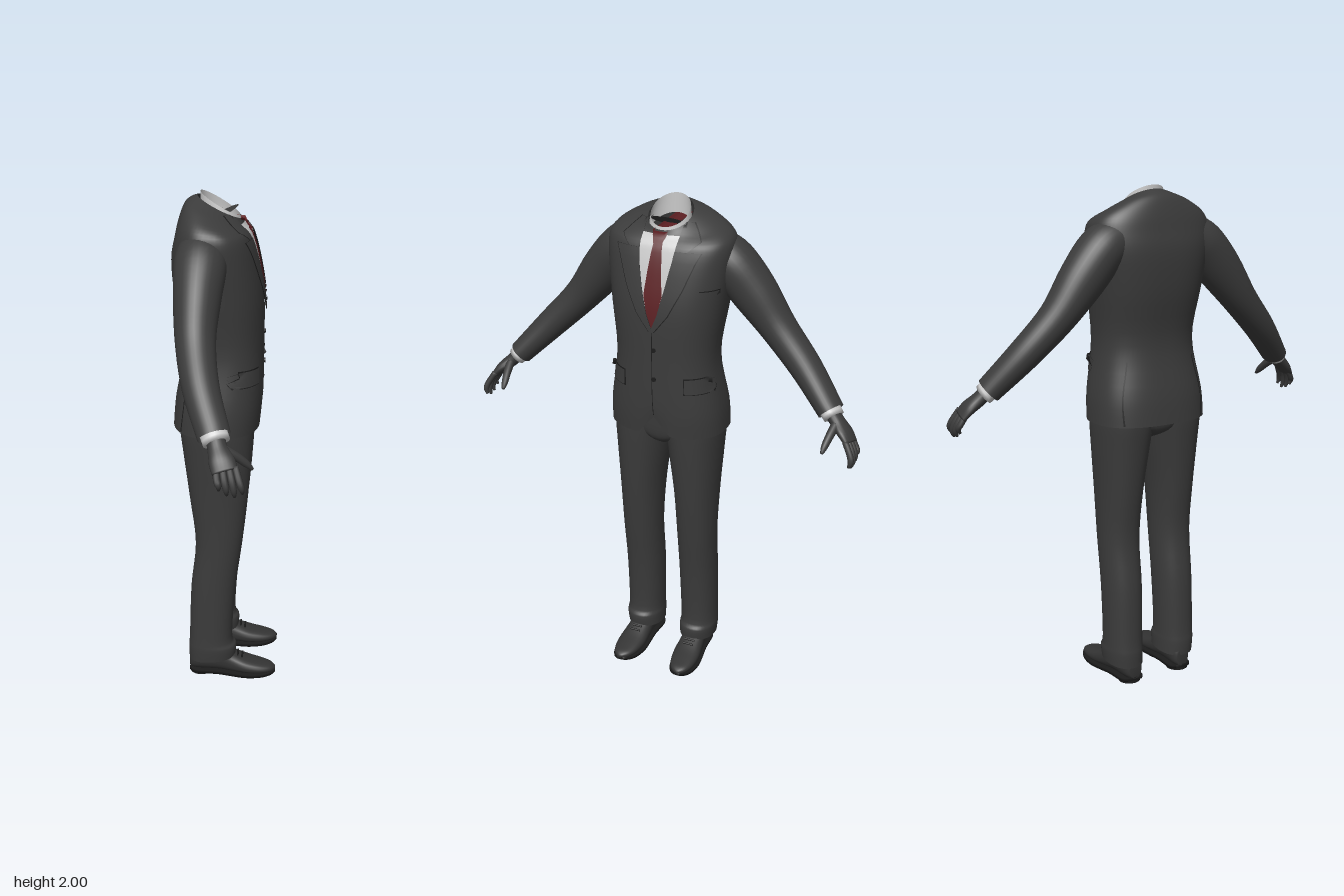
import * as THREE from 'three';

const mat = (name, color) => new THREE.MeshStandardMaterial({ name, color, side: THREE.DoubleSide });
const V = (x, y, z) => new THREE.Vector3(x, y, z);

// Catmull-Rom interpolation of rows of numbers
function smooth(rows, steps) {
  const out = [];
  const at = i => rows[Math.max(0, Math.min(rows.length - 1, i))];
  for (let i = 0; i < rows.length - 1; i++) {
    for (let s = 0; s < steps; s++) {
      const t = s / steps;
      out.push(rows[i].map((b, k) => {
        const a = at(i - 1)[k], c = at(i + 1)[k], d = at(i + 2)[k];
        return b + 0.5 * t * (c - a + t * (2 * a - 5 * b + 4 * c - d + t * (3 * (b - c) + d - a)));
      }));
    }
  }
  out.push(rows[rows.length - 1]);
  return out;
}

// Skin over equal-length rings; closed wraps each ring, caps fills both ends
function skin(rings, closed = true, caps = false) {
  const n = rings[0].length, pts = rings.flat(), idx = [];
  const w = closed ? n : n - 1;
  for (let i = 0; i < rings.length - 1; i++) {
    for (let j = 0; j < w; j++) {
      const a = i * n + j, b = i * n + (j + 1) % n;
      idx.push(a, a + n, b, b, a + n, b + n);
    }
  }
  if (caps) [0, rings.length - 1].forEach((r, e) => {
    const c = pts.length;
    pts.push(rings[r].reduce((s, p) => s.add(p), V(0, 0, 0)).divideScalar(n));
    for (let j = 0; j < n; j++) {
      const a = r * n + j, b = r * n + (j + 1) % n;
      e ? idx.push(c, b, a) : idx.push(c, a, b);
    }
  });
  const g = new THREE.BufferGeometry().setFromPoints(pts);
  g.setIndex(idx);
  g.computeVertexNormals();
  return g;
}

const pw = (v, e) => Math.sign(v) * Math.abs(v) ** e;
const ring = (n, f) => Array.from({ length: n }, (_, j) => f(Math.cos(j / n * Math.PI * 2), Math.sin(j / n * Math.PI * 2)));

// Upright body from rows [y, back x, front x, centre z, half width, tilt, squareness]
function stack(rows, seg = 64, steps = 4) {
  return skin(smooth(rows, steps).map(([y, xb, xf, zc, hw, tilt, n]) => ring(seg, (c, s) => {
    const dx = pw(c, 2 / n) * (xf - xb) / 2;
    return V((xb + xf) / 2 + dx, y - tilt * dx, zc + pw(s, 2 / n) * hw);
  })));
}

// Tapered limb from rows [x, y, z, radius along x, radius across]
function limb(rows, seg = 24, steps = 5, caps = false) {
  const r = smooth(rows, steps), p = r.map(a => V(a[0], a[1], a[2]));
  return skin(r.map((a, i) => {
    const t = p[Math.min(i + 1, p.length - 1)].clone().sub(p[Math.max(i - 1, 0)]).normalize();
    const u = V(1, 0, 0).addScaledVector(t, -t.x).normalize(), v = u.clone().cross(t);
    return ring(seg, (c, s) => p[i].clone().addScaledVector(u, c * a[3]).addScaledVector(v, s * a[4]));
  }), true, caps);
}

export function createModel() {
  const suit = mat('charcoal suit', 0x3b3b3b), dark = mat('dark seam', 0x1c1c1c);
  const white = mat('shirt white', 0xc9c9c9), red = mat('tie red', 0x5c1f22);
  const leather = mat('shoe leather', 0x343434), glove = mat('glove grey', 0x3a3a3a);
  const model = new THREE.Group();
  const add = (name, geo, m, parent = model) => {
    const mesh = new THREE.Mesh(geo, m);
    mesh.name = name;
    parent.add(mesh);
    return mesh;
  };

  // Jacket body, with the front corners of the hem cut away
  const jacketGeo = stack([
    [1.09, -0.21, 0.135, 0, 0.237, 0, 2.5], [1.2, -0.2, 0.143, 0, 0.232, 0, 2.5],
    [1.4, -0.168, 0.145, 0, 0.203, 0, 2.4], [1.6, -0.2, 0.143, 0, 0.225, 0, 2.5],
    [1.75, -0.21, 0.118, 0, 0.245, 0, 2.6], [1.84, -0.195, 0.092, 0, 0.25, 0, 2.6],
    [1.885, -0.18, 0.075, 0, 0.228, 0.15, 2.4], [1.915, -0.16, 0.066, 0, 0.17, 0.35, 2.2],
    [1.932, -0.135, 0.061, 0, 0.12, 0.45, 2], [1.942, -0.112, 0.058, 0, 0.086, 0.5, 2],
  ]);
  const pos = jacketGeo.attributes.position;
  for (let i = 0; i < pos.count; i++) {
    const y = pos.getY(i), k = Math.max(0, 1 - Math.abs(pos.getZ(i)) / 0.07) * Math.max(0, 1 - (y - 1.09) / 0.15);
    if (pos.getX(i) > 0) pos.setY(i, y + 0.08 * k);
  }
  jacketGeo.computeVertexNormals();
  const jacket = add('jacketBody', jacketGeo, suit);
  jacket.updateMatrixWorld();

  // Thin plate lying on the jacket: rows [y, edge, edge]; side 0 = front, +-1 = flank
  const caster = new THREE.Raycaster();
  function patch(name, rows, off, m, side = 0, cols = 6, sub = 3) {
    const fine = [];
    rows.forEach((r, i) => {
      if (i) for (let s = 1; s <= sub; s++) fine.push(r.map((v, k) => rows[i - 1][k] + (v - rows[i - 1][k]) * s / sub));
      else fine.push(r);
    });
    let last = side ? 0.2 : 0.06;
    const rings = fine.map(([y, a, b]) => Array.from({ length: cols + 1 }, (_, j) => {
      const q = a + (b - a) * j / cols + 1e-4;
      caster.set(side ? V(q, y, side) : V(1, y, q), side ? V(0, 0, -side) : V(-1, 0, 0));
      const hit = caster.intersectObject(jacket)[0];
      if (hit) last = side ? Math.abs(hit.point.z) : hit.point.x;
      return side ? V(q, y, side * (last + off)) : V(last + off, y, q);
    }));
    return add(name, skin(rings, false), m);
  }
  const flip = (rows, s) => rows.map(([y, a, b]) => [y, a * s, b * s]);

  // Shirt front, collar and tie
  patch('shirtFront', [[1.53, -0.004, 0.004], [1.7, -0.05, 0.05], [1.83, -0.074, 0.074], [1.885, -0.074, 0.074]], 0.003, white, 0, 10, 5);
  add('shirtCollar', stack([[1.88, -0.1, 0.056, 0, 0.08, 0.55, 2], [1.92, -0.1, 0.056, 0, 0.079, 0.58, 2], [1.954, -0.1, 0.05, 0, 0.075, 0.6, 2]]), white);
  const neck = add('neckOpening', new THREE.CircleGeometry(0.074, 40), dark === null ? dark : glove);
  neck.rotation.set(-Math.PI / 2, -0.5, 0);
  neck.position.set(-0.022, 1.91, 0);
  patch('tieBlade', [[1.53, -0.006, 0.006], [1.67, -0.037, 0.037], [1.77, -0.027, 0.027], [1.865, -0.017, 0.017]], 0.007, red, 0, 6, 5);
  patch('tieKnot', [[1.858, -0.016, 0.016], [1.885, -0.028, 0.028], [1.91, -0.03, 0.03]], 0.014, red);

  const lapel = [[1.53, -0.006, 0.008], [1.6, 0.022, 0.062], [1.7, 0.046, 0.112], [1.8, 0.066, 0.15], [1.838, 0.071, 0.168]];
  const collar = [[1.838, 0.071, 0.115], [1.872, 0.073, 0.155], [1.9, 0.074, 0.13], [1.925, 0.076, 0.105]];
  const grow = rows => rows.map(([y, a, b]) => [y, a, b + 0.004]);
  const flap = [[1.285, 0.13, 0.205], [1.292, 0.125, 0.212], [1.345, 0.125, 0.209]];
  for (const s of [1, -1]) {
    // Lapels and jacket collar with a fine dark edge
    const lift = s > 0 ? 0 : 0.001;
    patch('lapelEdge', flip(grow(lapel), s), 0.0075 + lift, dark, 0, 6, 4);
    patch('lapel', flip(lapel, s), 0.0095 + lift, suit, 0, 6, 4);
    patch('collarEdge', flip(grow(collar), s), 0.005, dark);
    patch('jacketCollar', flip(collar, s), 0.007, suit);
    patch('collarPoint', flip([[1.835, 0.05, 0.056], [1.86, 0.036, 0.074], [1.885, 0.024, 0.074]], s), 0.006, white);

    // Pocket flaps, cutaway edges and side vents
    patch('pocketSeam', flip([[1.281, 0.121, 0.214], [1.349, 0.121, 0.212]], s), 0.003, dark);
    patch('pocketFlap', flip(flap, s), 0.006, suit);
    patch('sideVent', [[1.095, -0.172, -0.168], [1.34, -0.142, -0.139]], 0.002, dark, s, 1, 8);

    const side = new THREE.Group();
    side.name = s > 0 ? 'rightSide' : 'leftSide';
    side.scale.z = s;
    model.add(side);

    // Sleeve and shirt cuff
    add('sleeve', limb([
      [-0.09, 1.805, 0.16, 0.085, 0.082], [-0.085, 1.765, 0.225, 0.098, 0.092], [-0.09, 1.66, 0.315, 0.088, 0.09],
      [-0.088, 1.53, 0.42, 0.074, 0.07], [-0.06, 1.4, 0.545, 0.067, 0.06], [-0.005, 1.268, 0.668, 0.06, 0.048],
    ], 32), suit, side);
    add('shirtCuff', limb([[-0.012, 1.285, 0.652, 0.05, 0.04], [0.005, 1.252, 0.684, 0.049, 0.037]], 24, 3, true), white, side);

    // Gloved hand
    add('palm', limb([[-0.002, 1.27, 0.668, 0.034, 0.028], [0.01, 1.235, 0.703, 0.036, 0.026],
      [0.026, 1.205, 0.738, 0.046, 0.023], [0.038, 1.175, 0.764, 0.045, 0.016]], 20, 5, true), glove, side);
    for (let i = 0; i < 4; i++) {
      const x = 0.005 + 0.0225 * i, len = [0.075, 0.092, 0.098, 0.085][i];
      add('finger', limb([[x, 1.192, 0.752, 0.012, 0.012], [x + 0.006 + 0.003 * i, 1.15, 0.777, 0.0125, 0.012],
        [x + 0.012 + 0.004 * i, 1.192 - len * 0.8, 0.785, 0.011, 0.011],
        [x + 0.013 + 0.005 * i, 1.188 - len, 0.778, 0.005, 0.005]], 10, 4, true), glove, side);
    }
    add('thumb', limb([[0.03, 1.235, 0.7, 0.018, 0.018], [0.075, 1.205, 0.692, 0.016, 0.016],
      [0.11, 1.175, 0.685, 0.013, 0.013], [0.13, 1.155, 0.682, 0.006, 0.006]], 10, 4, true), glove, side);

    // Trouser leg
    add('trouserLeg', stack([
      [0.078, -0.15, 0.042, 0.122, 0.074, -0.1, 2.2], [0.13, -0.152, 0.045, 0.124, 0.077, -0.05, 2.2],
      [0.18, -0.148, 0.028, 0.124, 0.075, 0, 2.2], [0.4, -0.14, 0.042, 0.122, 0.077, 0, 2.2],
      [0.6, -0.12, 0.068, 0.122, 0.079, 0, 2.2], [0.8, -0.142, 0.09, 0.12, 0.087, 0, 2.2],
      [0.98, -0.165, 0.104, 0.114, 0.104, 0, 2.2], [1.1, -0.178, 0.11, 0.11, 0.113, 0, 2.3],
      [1.2, -0.17, 0.11, 0.105, 0.11, 0, 2.4],
    ], 40), suit, side);

    // Shoe upper from rows [x, half width, bottom, top]
    const shoe = smooth([[-0.148, 0.025, 0.02, 0.09], [-0.12, 0.044, 0.015, 0.13], [-0.03, 0.046, 0.015, 0.135], [0.03, 0.052, 0.012, 0.1],
      [0.09, 0.057, 0.01, 0.073], [0.15, 0.05, 0.012, 0.057], [0.19, 0.033, 0.017, 0.047], [0.21, 0.008, 0.022, 0.036]], 4);
    const zAt = x => 0.118 + 0.05 * (x + 0.1);
    add('shoe', skin(shoe.map(([x, hw, b, t]) => ring(24, (c, q) =>
      V(x, (b + t) / 2 + pw(q, 0.85) * (t - b) / 2, zAt(x) + hw * pw(c, 0.85)))), true, true), leather, side);
    add('shoeSole', skin(shoe.map(([x, hw, b]) => [[-1, 0], [1, 0], [1, 1], [-1, 1]].map(([c, u]) =>
      V(x, b - 0.007 + u * 0.014, zAt(x) + c * (hw + 0.003)))), true, true), dark, side);
    add('shoeHeel', new THREE.CylinderGeometry(0.045, 0.045, 0.02, 24), dark, side).position.set(-0.102, 0.01, 0.118);
    for (let i = 0; i < 3; i++) {
      const lace = add('shoeLace', new THREE.CylinderGeometry(0.004, 0.004, 0.045, 8), dark, side);
      lace.rotation.x = Math.PI / 2;
      lace.position.set(0.035 + i * 0.018, 0.1 - i * 0.009, zAt(0.05));
    }
  }

  // Trouser seat joining the legs
  add('trouserSeat', stack([[1.02, -0.1, 0.05, 0, 0.03, 0, 2], [1.05, -0.155, 0.09, 0, 0.1, 0, 2.2],
    [1.1, -0.17, 0.104, 0, 0.19, 0, 2.4], [1.2, -0.165, 0.11, 0, 0.195, 0, 2.4]], 40), suit);

  // Front closure, breast pocket and buttons
  patch('frontClosure', [[1.18, -0.003, 0], [1.3, 0.0, 0.003], [1.53, 0.0, 0.003]], 0.002, dark, 0, 1, 6);
  patch('breastPocket', [[1.695, -0.24, -0.17], [1.699, -0.24, -0.17]], 0.003, dark, 0, 6, 1);
  for (const y of [1.455, 1.335]) {
    const button = add('button', new THREE.CylinderGeometry(0.009, 0.009, 0.006, 16), dark);
    button.rotation.z = Math.PI / 2;
    button.position.set(0.147, y, -0.006);
  }
  return model;
}
